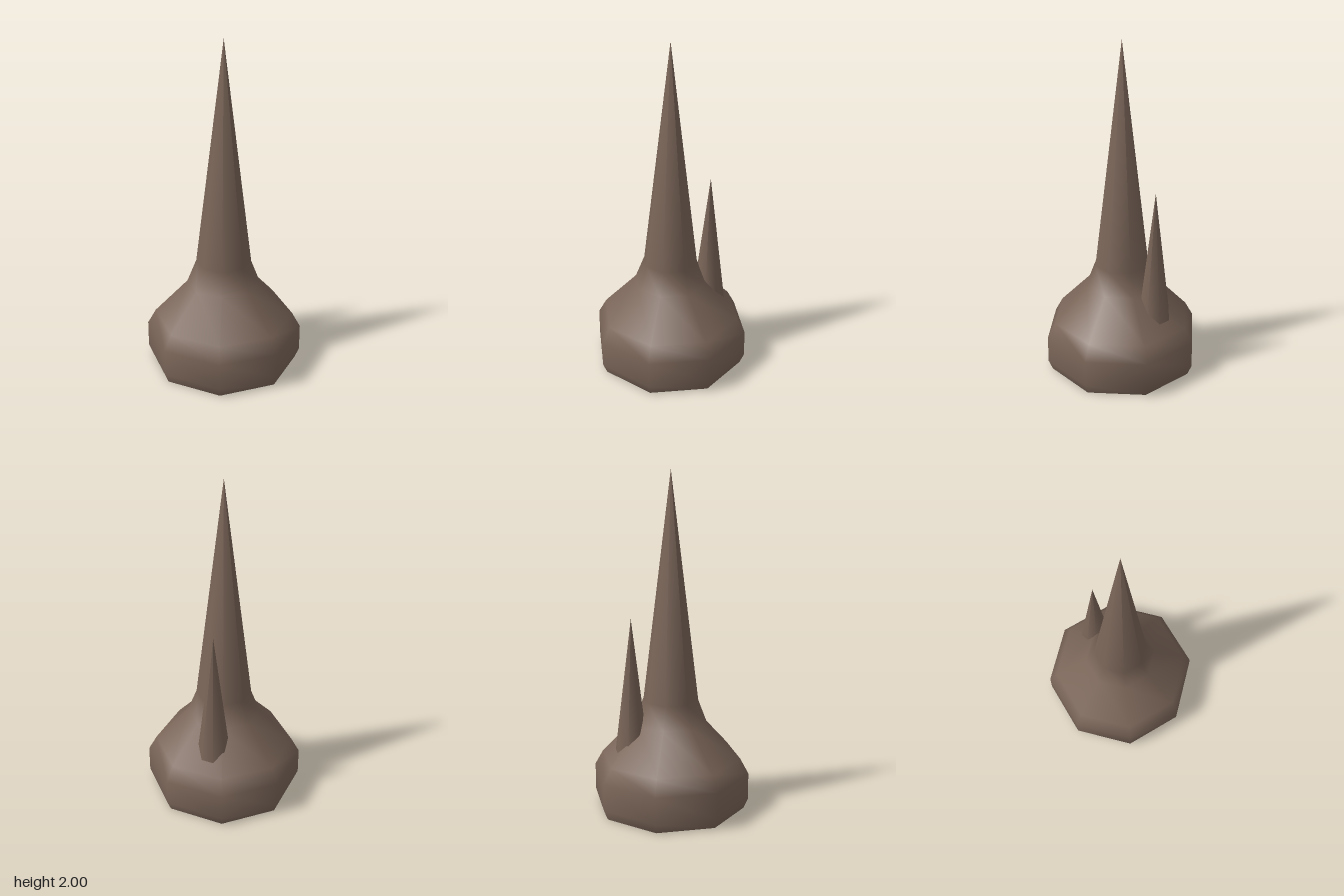
import * as THREE from 'three';

const SIDES = 8;
// Outline of the bulb and main spike: [radius, height]
const PROFILE = [[0.445, 0], [0.47, 0.06], [0.47, 0.22], [0.42, 0.31], [0.22, 0.52], [0.165, 0.66], [0, 2]];

// Corner radius of the body at a height
function bodyRadius(y) {
  for (let i = 1; i < PROFILE.length; i++) {
    const [r0, y0] = PROFILE[i - 1], [r1, y1] = PROFILE[i];
    if (y <= y1) return r0 + (r1 - r0) * (y - y0) / (y1 - y0);
  }
  return 0;
}

// Corner radius of the octagon passing through (x, z)
function octagonRadius(x, z) {
  let d = 0;
  for (let k = 0; k < SIDES; k++) {
    const a = (k + 0.5) * 2 * Math.PI / SIDES;
    d = Math.max(d, x * Math.cos(a) + z * Math.sin(a));
  }
  return d / Math.cos(Math.PI / SIDES);
}

// Cone whose lower rim is trimmed to follow the body's surface
function sideSpike(tip, slope) {
  const geo = new THREE.ConeGeometry(slope, 1, SIDES, 1, true);
  const pos = geo.attributes.position;
  for (let i = 0; i < pos.count; i++) {
    if (pos.getY(i) > 0) {
      pos.setXYZ(i, tip.x, tip.y, tip.z);
      continue;
    }
    const dx = pos.getX(i), dz = pos.getZ(i);
    let drop = 0;
    while (drop < 0.85 &&
      octagonRadius(tip.x + dx * drop, tip.z + dz * drop) > bodyRadius(tip.y - drop)) drop += 0.002;
    drop += 0.008;
    pos.setXYZ(i, tip.x + dx * drop, tip.y - drop, tip.z + dz * drop);
  }
  return geo;
}

export function createModel() {
  const group = new THREE.Group();
  group.name = 'spikedStalagmite';

  const stone = new THREE.MeshStandardMaterial({ color: 0x7a6558, side: THREE.DoubleSide });
  stone.name = 'brown stone';

  // Hollow bulb rising into the tall spike, open underneath
  const body = new THREE.Mesh(
    new THREE.LatheGeometry(PROFILE.map(([r, y]) => new THREE.Vector2(r, y)), SIDES), stone);
  body.name = 'bulbAndMainSpike';
  group.add(body);

  // Small spike on the left shoulder
  const spike = new THREE.Mesh(sideSpike(new THREE.Vector3(0.208, 1.16, -0.133), 0.125), stone);
  spike.name = 'smallSpike';
  group.add(spike);

  return group;
}
